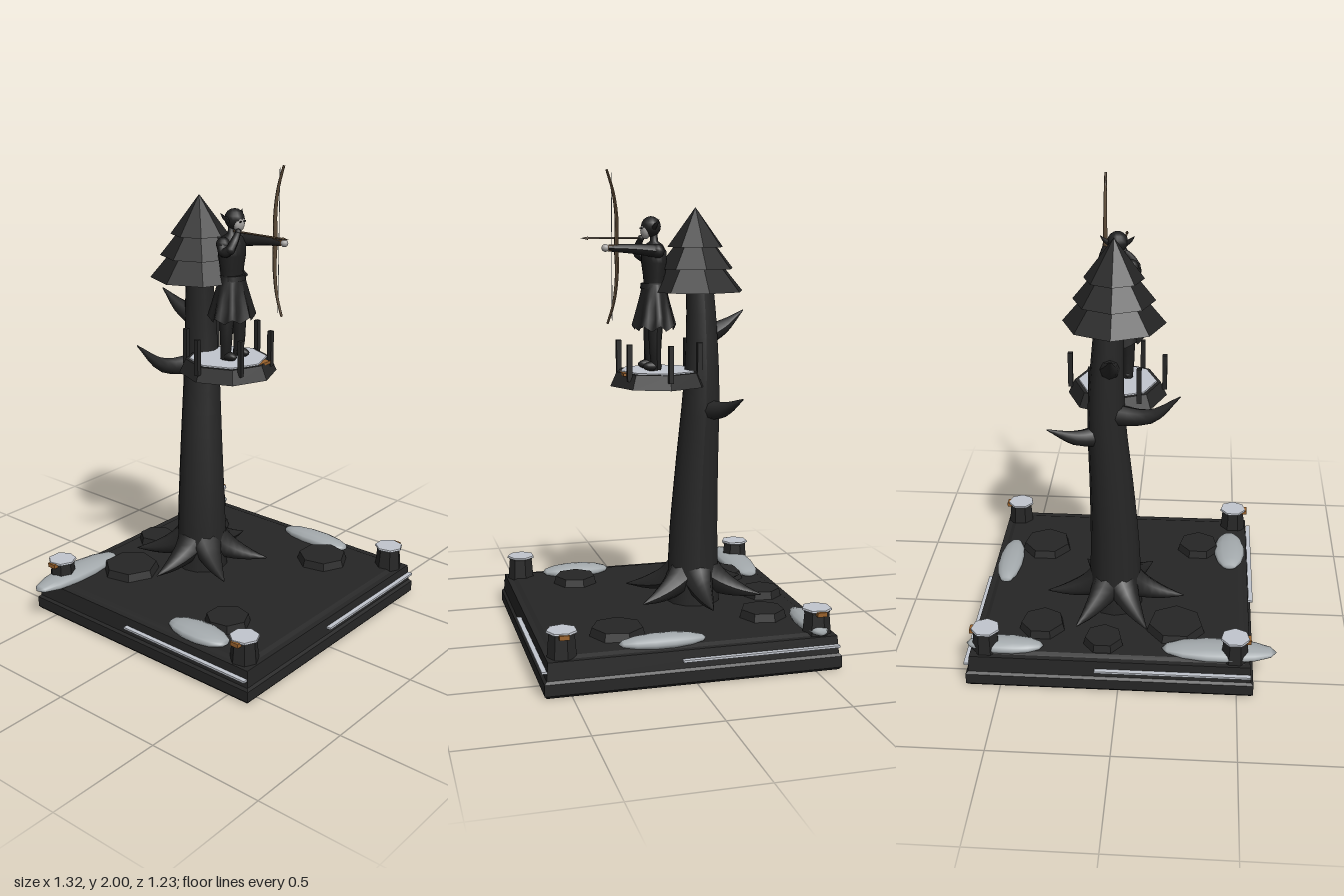
import * as THREE from 'three';

const mat = (name, color, extra = {}) => {
  const m = new THREE.MeshStandardMaterial({ color, ...extra });
  m.name = name;
  return m;
};
const V = (x, y, z) => new THREE.Vector3(x, y, z);

export function createModel() {
  const model = new THREE.Group();
  model.name = 'archerLookout';
  const stone = mat('stone', 0x262626, { flatShading: true });
  const bark = mat('bark', 0x262626);
  const foliage = mat('foliage', 0x232323, { flatShading: true });
  const cloth = mat('cloth', 0x202020);
  const snow = mat('snow', 0xc2c6ce, { flatShading: true });
  const drift = mat('driftSnow', 0xa4aaad);
  const wood = mat('bowWood', 0x5e4c38);
  const amber = mat('amber', 0x9a622c);
  const skin = mat('paleSkin', 0xaaa8a6);

  const add = (name, geo, material, x = 0, y = 0, z = 0, parent = model) => {
    const mesh = new THREE.Mesh(geo, material);
    mesh.name = name;
    mesh.position.set(x, y, z);
    parent.add(mesh);
    return mesh;
  };
  const box = (w, h, d) => new THREE.BoxGeometry(w, h, d);

  // Box whose upper and lower rims are inset
  const slab = (w, h, d, top, bottom = 0) => {
    const g = box(w, h, d), p = g.attributes.position;
    for (let i = 0; i < p.count; i++) {
      const inset = p.getY(i) > 0 ? top : bottom;
      p.setX(i, p.getX(i) - Math.sign(p.getX(i)) * inset);
      p.setZ(i, p.getZ(i) - Math.sign(p.getZ(i)) * inset);
    }
    g.computeVertexNormals();
    return g;
  };

  // Tube through points, with radius interpolated along a list
  const taper = (points, radii, seg = 8, sides = 8) => {
    const curve = new THREE.CatmullRomCurve3(points);
    const g = new THREE.TubeGeometry(curve, seg, 1, sides), p = g.attributes.position;
    const v = V(0, 0, 0);
    for (let i = 0; i < p.count; i++) {
      const t = Math.floor(i / (sides + 1)) / seg;
      const c = curve.getPointAt(t);
      const f = t * (radii.length - 1), k = Math.min(Math.floor(f), radii.length - 2);
      const r = THREE.MathUtils.lerp(radii[k], radii[k + 1], f - k);
      v.fromBufferAttribute(p, i).sub(c).multiplyScalar(r).add(c);
      p.setXYZ(i, v.x, v.y, v.z);
    }
    g.computeVertexNormals();
    return g;
  };

  // Square stepped base
  const cx = 0.038;
  add('baseFoot', slab(1.215, 0.012, 1.215, 0, 0.01), stone, cx, 0.006, 0);
  add('baseLower', box(1.215, 0.046, 1.215), stone, cx, 0.035, 0);
  add('baseLowerChamfer', slab(1.215, 0.012, 1.215, 0.012), stone, cx, 0.064, 0);
  add('baseUpper', slab(1.195, 0.072, 1.195, 0.006), stone, cx, 0.104, 0);
  add('baseFloor', slab(1.14, 0.01, 1.14, 0.02), stone, cx, 0.144, 0);

  // Pale strip along half of each side
  for (let i = 0; i < 4; i++) {
    const side = new THREE.Group();
    side.name = 'sideTrim';
    side.position.x = cx;
    side.rotation.y = i * Math.PI / 2;
    add('trimStrip', box(0.655, 0.009, 0.02), snow, 0.267, 0.102, 0.606, side);
    model.add(side);
  }

  // Corner posts with snow caps and amber lamps
  for (const sx of [-1, 1]) for (const z of [-0.525, 0.525]) {
    const x = cx + sx * 0.527;
    add('cornerPost', new THREE.CylinderGeometry(0.052, 0.066, 0.16, 7), stone, x, 0.15, z);
    add('postSnow', new THREE.CylinderGeometry(0.061, 0.063, 0.008, 7), snow, x, 0.242, z);
    add('postCollar', new THREE.CylinderGeometry(0.054, 0.054, 0.01, 7), stone, x, 0.233, z);
    add('postLamp', box(0.03, 0.018, 0.04), amber, x + sx * 0.052, 0.233, z);
  }

  // Flat stones: x, z, radius
  for (const [x, z, r] of [[-0.235, -0.345, 0.13], [0.07, -0.465, 0.088], [0.343, -0.372, 0.102],
    [0.403, 0.268, 0.118], [-0.323, 0.3, 0.1]])
    add('flatStone', new THREE.CylinderGeometry(r * 0.9, r, 0.04, 7), stone, x, 0.163, z);

  // Snow drifts: x, z, half length, half width, lies along z
  for (const [x, z, l, w, alongZ] of [[-0.422, -0.505, 0.243, 0.075, 0], [0.485, -0.522, 0.165, 0.056, 0],
    [0.557, 0.12, 0.18, 0.058, 1], [-0.472, 0.27, 0.155, 0.072, 1]]) {
    const g = new THREE.SphereGeometry(1, 12, 7).rotateZ(Math.PI / 2).scale(l, 0.03, w);
    if (alongZ) g.rotateY(Math.PI / 2);
    add('snowDrift', g, drift, x, 0.16, z);
  }

  // Trunk, roots and branches
  add('trunk', taper([V(0.04, 0.14, -0.155), V(0.042, 0.45, -0.157), V(0.055, 0.75, -0.167),
    V(0.074, 1.1, -0.18), V(0.065, 1.4, -0.18), V(0.05, 1.62, -0.17)],
  [0.118, 0.108, 0.095, 0.082, 0.068, 0.055], 14, 12), bark);
  for (let i = 0; i < 6; i++) {
    const a = i * Math.PI / 3, at = (r, y) => V(0.04 + Math.cos(a) * r, y, -0.157 + Math.sin(a) * r);
    add('root', taper([at(0.03, 0.29), at(0.12, 0.235), at(0.21, 0.205), at(0.305, 0.19)],
      [0.085, 0.055, 0.03, 0.002]), bark);
  }
  for (const pts of [
    [V(0.08, 1.0, -0.18), V(0.19, 1.01, -0.24), V(0.31, 1.07, -0.29)],
    [V(0.06, 1.1, -0.19), V(-0.11, 1.12, -0.24), V(-0.235, 1.23, -0.275)],
    [V(0.06, 1.3, -0.18), V(0.05, 1.345, -0.28), V(0.04, 1.415, -0.375)]])
    add('branch', taper(pts, [0.05, 0.032, 0.002]), bark);

  // Tiered crown: radius, height, bottom
  for (const [r, h, y] of [[0.21, 0.25, 1.5], [0.167, 0.21, 1.595], [0.122, 0.165, 1.685]])
    add('crownTier', new THREE.ConeGeometry(r, h, 8), foliage, 0.04, y + h / 2, -0.16);

  // Lookout platform with railing stakes
  add('platform', new THREE.CylinderGeometry(0.183, 0.21, 0.06, 8), stone, 0.04, 1.136, 0);
  add('platformSnow', new THREE.CylinderGeometry(0.166, 0.168, 0.006, 8), snow, 0.04, 1.168, 0);
  add('platformPlank', box(0.075, 0.012, 0.03), amber, 0.08, 1.161, 0.155);
  for (let i = 0; i < 6; i++) {
    const a = i * Math.PI / 3;
    add('stake', box(0.02, 0.155, 0.02), stone, 0.04 + Math.cos(a) * 0.2, 1.213, Math.sin(a) * 0.174);
  }

  // Archer
  const archer = new THREE.Group();
  archer.name = 'archer';
  archer.position.set(0.04, 0, 0.02);
  model.add(archer);
  const part = (name, geo, m, x, y, z) => add(name, geo, m, x, y, z, archer);
  const ball = (r) => new THREE.SphereGeometry(r, 12, 8);

  // Legs and boots
  for (const s of [-1, 1]) {
    part('leg', taper([V(s * 0.042, 1.175, 0), V(s * 0.044, 1.27, 0.006), V(s * 0.035, 1.42, 0)],
      [0.021, 0.028, 0.036]), cloth);
    part('boot', ball(1).scale(0.022, 0.02, 0.042), cloth, s * 0.042, 1.19, 0.018);
  }

  // Pleated skirt
  const skirt = new THREE.CylinderGeometry(0.055, 0.098, 0.18, 32, 4, true);
  const sp = skirt.attributes.position;
  for (let i = 0; i < sp.count; i++) {
    const x = sp.getX(i), y = sp.getY(i), z = sp.getZ(i);
    const fall = 0.5 - y / 0.18, wave = Math.cos(Math.atan2(x, z) * 8);
    const k = 1 + 0.1 * fall * wave;
    sp.setXYZ(i, x * k * 1.04, y + 0.012 * fall * wave, z * k * 0.9);
  }
  skirt.computeVertexNormals();
  part('skirt', skirt, mat('skirtCloth', 0x202020, { side: THREE.DoubleSide }), 0, 1.44, 0);
  part('belt', new THREE.CylinderGeometry(0.056, 0.059, 0.022, 16), cloth, 0, 1.525, 0);

  // Torso, neck and head
  const profile = [[0.052, 1.51], [0.054, 1.56], [0.064, 1.62], [0.064, 1.665], [0.045, 1.695], [0.02, 1.71], [0.018, 1.75]];
  part('torso', new THREE.LatheGeometry(profile.map(([r, y]) => new THREE.Vector2(r, y)), 16).scale(1.05, 1, 0.82), cloth);
  part('head', ball(0.043), cloth, 0, 1.77, 0.013);
  part('face', ball(1).scale(0.03, 0.037, 0.022), skin, 0, 1.755, 0.036);
  for (const s of [-1, 1]) {
    part('ear', taper([V(s * 0.035, 1.765, 0.01), V(s * 0.055, 1.78, 0.004), V(s * 0.07, 1.8, -0.004)],
      [0.012, 0.008, 0.001], 4, 6), cloth);
    part('eye', box(0.011, 0.006, 0.004), cloth, s * 0.012, 1.763, 0.056);
  }

  // Bow arm stretched forward, string arm bent back
  part('bowArm', taper([V(0.058, 1.67, 0), V(0.064, 1.68, 0.1), V(0.065, 1.685, 0.21)], [0.027, 0.02, 0.014]), cloth);
  part('shoulder', ball(0.03), cloth, 0.058, 1.67, 0);
  part('bracer', box(0.022, 0.02, 0.03), amber, 0.065, 1.685, 0.195);
  part('bowHand', ball(0.016), skin, 0.065, 1.685, 0.222);
  part('shoulder', ball(0.03), cloth, -0.058, 1.67, 0);
  part('upperArm', taper([V(-0.058, 1.67, 0), V(-0.075, 1.64, 0.02), V(-0.072, 1.655, 0.05)], [0.027, 0.023, 0.019]), cloth);
  part('elbow', ball(0.02), cloth, -0.072, 1.655, 0.05);
  part('forearm', taper([V(-0.072, 1.655, 0.05), V(-0.05, 1.69, 0.055), V(-0.022, 1.72, 0.05)], [0.02, 0.017, 0.012]), cloth);
  part('stringHand', ball(0.014), cloth, -0.022, 1.722, 0.05);

  // Bow, string and arrow
  add('bow', taper([V(0.104, 1.375, 0.235), V(0.104, 1.46, 0.208), V(0.104, 1.58, 0.194), V(0.104, 1.69, 0.196),
    V(0.104, 1.8, 0.194), V(0.104, 1.91, 0.208), V(0.104, 2.0, 0.235)], [0.005, 0.01, 0.005], 20, 6), wood);
  add('bowString', new THREE.CylinderGeometry(0.0015, 0.0015, 0.6, 5), drift, 0.104, 1.688, 0.215);
  add('arrow', new THREE.CylinderGeometry(0.004, 0.004, 0.26, 6).rotateX(Math.PI / 2), wood, 0.02, 1.723, 0.175);
  add('arrowHead', new THREE.ConeGeometry(0.007, 0.03, 6).rotateX(Math.PI / 2), wood, 0.02, 1.723, 0.312);
  return model;
}
